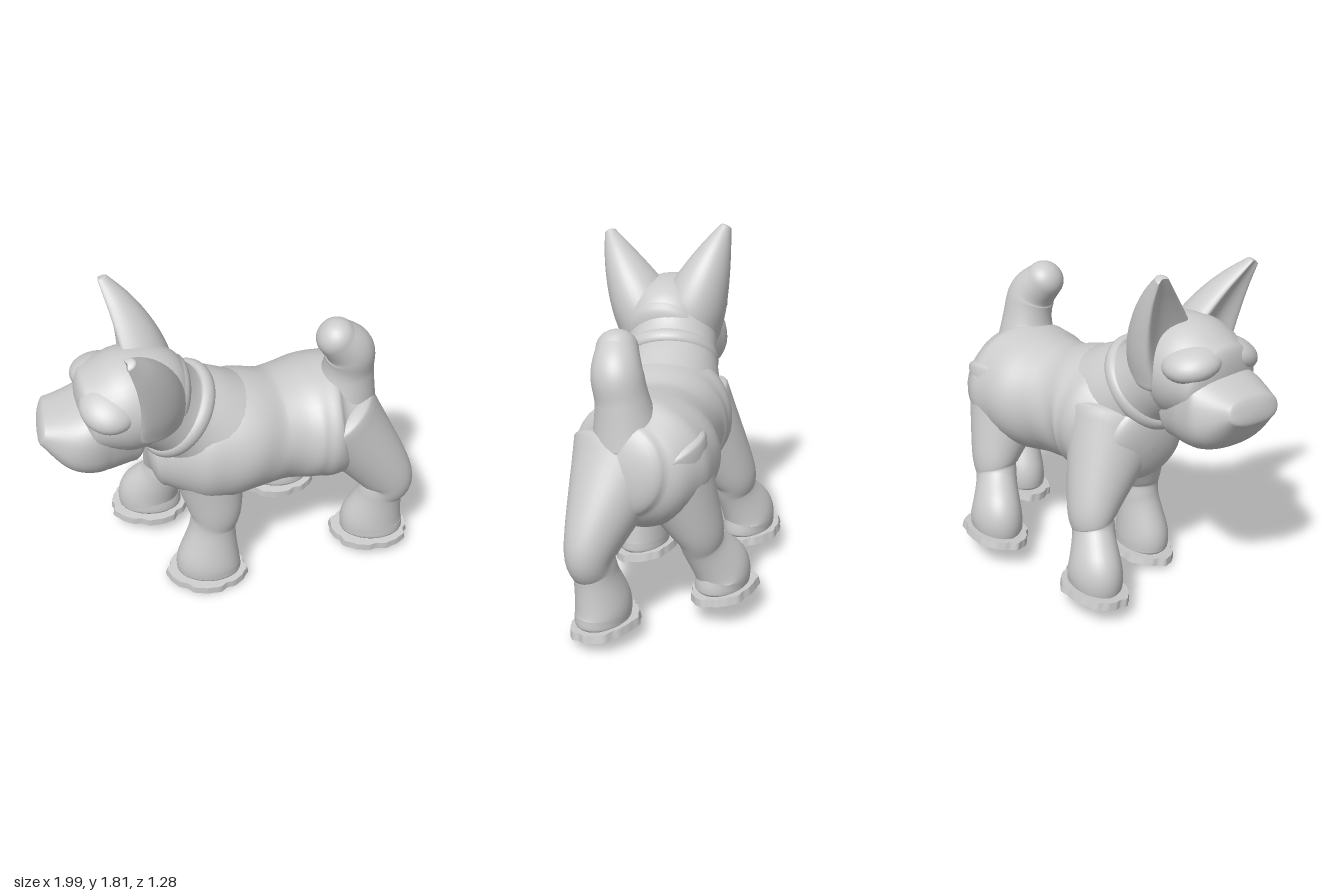
import * as THREE from 'three';

const material = new THREE.MeshStandardMaterial({ color: 0xcccccc });
const SEGMENTS = 40, STEPS = 40, CAP_STEPS = 8;
const GROUND_TILT = 0.137;
const groundHeight = z => GROUND_TILT * (0.36 - z);

function add(parent, name, geometry) {
  const mesh = new THREE.Mesh(geometry, material);
  mesh.name = name;
  parent.add(mesh);
  return mesh;
}

// Smooth skin through rings [x, y, z, sideRadius, otherRadius], rounded at both ends.
// capLength sets the roundness, power squares the section, dent hollows one side, ripple adds folds.
function loft(rings, { capLength = 0.35, power = 2, dent = 0, ripple = 0 } = {}) {
  const curve = points => new THREE.CatmullRomCurve3(points, false, 'catmullrom');
  const path = curve(rings.map(([x, y, z]) => new THREE.Vector3(x, y, z)));
  const radii = curve(rings.map(([, , , a, b = a]) => new THREE.Vector3(a, b, 0)));
  const positions = [], index = [];
  const bend = v => Math.sign(v) * Math.abs(v) ** (2 / power);
  const rows = STEPS + 2 * CAP_STEPS;
  for (let i = 0; i <= rows; i++) {
    const t = THREE.MathUtils.clamp((i - CAP_STEPS) / STEPS, 0, 1);
    // Angle round the end cap: zero along the body, a quarter turn at each pole
    const past = i < CAP_STEPS ? i - CAP_STEPS : Math.max(0, i - CAP_STEPS - STEPS);
    const cap = (past / CAP_STEPS) * Math.PI / 2;
    const shrink = Math.max(Math.cos(cap), 0.002);
    const d = path.getTangent(t), r = radii.getPoint(t);
    const c = path.getPoint(t).addScaledVector(d, capLength * Math.sin(cap) * Math.min(r.x, r.y));
    const side = new THREE.Vector3(0, 0, 1).addScaledVector(d, -d.z).normalize();
    const other = new THREE.Vector3().crossVectors(d, side);
    for (let j = 0; j < SEGMENTS; j++) {
      const a = (j / SEGMENTS) * Math.PI * 2, cos = Math.cos(a), sin = Math.sin(a);
      const scale = shrink * (1 + ripple * Math.sin(t * 42 + 2.5 * sin) * Math.abs(cos));
      const p = c.clone()
        .addScaledVector(side, bend(cos) * r.x * scale)
        .addScaledVector(other, (bend(sin) + dent * Math.max(0, -sin) ** 2) * r.y * scale);
      positions.push(p.x, p.y, p.z);
      if (i === 0) continue;
      const n = (j + 1) % SEGMENTS, lo = (i - 1) * SEGMENTS, hi = i * SEGMENTS;
      index.push(lo + j, lo + n, hi + n, lo + j, hi + n, hi + j);
    }
  }
  const geometry = new THREE.BufferGeometry();
  geometry.setAttribute('position', new THREE.Float32BufferAttribute(positions, 3));
  geometry.setIndex(index);
  geometry.computeVertexNormals();
  return geometry;
}

// Thin ragged disc under a foot, lying on the sloping ground
function addPad(parent, x, z, seed) {
  const geometry = new THREE.CylinderGeometry(0.97, 1, 0.04, 72);
  const p = geometry.attributes.position;
  for (let i = 0; i < p.count; i++) {
    const a = Math.atan2(p.getZ(i), p.getX(i));
    const r = 0.97 + 0.03 * Math.sin(5 * a + seed) + 0.02 * Math.sin(11 * a + 2 * seed) + 0.015 * Math.sin(17 * a);
    p.setX(i, p.getX(i) * r * 0.225);
    p.setZ(i, p.getZ(i) * r * 0.168);
  }
  geometry.computeVertexNormals();
  const pad = add(parent, 'footPad', geometry);
  pad.position.set(x, groundHeight(z) + 0.022, z);
  pad.rotation.x = GROUND_TILT;
}

// Leg from a broad foot through a narrow ankle to the knee and a hip sunk in the body
function createLeg(name, [x, z], knee, hip, seed) {
  const leg = new THREE.Group();
  leg.name = name;
  const y = groundHeight(z);
  const ankle = [x, y, z].map((v, i) => THREE.MathUtils.lerp(v, knee[i], 0.7));
  add(leg, 'limb', loft([
    [x, y + 0.06, z, 0.13, 0.175],
    [x, y + 0.14, z, 0.13, 0.17],
    [...ankle, 0.107, 0.125],
    [...knee, 0.135, 0.15],
    [...hip, 0.27, 0.23],
  ]));
  addPad(leg, x - 0.01, z - 0.01, seed);
  return leg;
}

function createHead() {
  const head = new THREE.Group();
  head.name = 'head';
  head.position.set(-0.5, 1.2, 0.22);
  head.rotation.set(0.1, 0.23, 0, 'YXZ');

  add(head, 'skull', loft([
    [0.2, 0.04, 0, 0.2], [0.08, 0.07, 0, 0.25], [-0.06, 0.06, 0, 0.27, 0.26], [-0.22, 0.04, 0, 0.24, 0.2]]));

  // Boxy bearded muzzle, tapering to the nose
  add(head, 'muzzle', loft([
    [0, -0.12, 0, 0.17, 0.19], [-0.15, -0.09, 0, 0.22], [-0.29, -0.075, 0, 0.24, 0.195],
    [-0.46, -0.025, -0.02, 0.16, 0.075]], { power: 2.5 }));

  for (const s of [-1, 1]) {
    // Shaggy brow, mostly sunk in the forehead
    const brow = add(head, 'brow', new THREE.SphereGeometry(1, 32, 20));
    brow.scale.set(0.15, 0.09, 0.16);
    brow.position.set(-0.145, 0.145, s * 0.13);
    brow.rotation.x = s * 0.3;

    // Broad pointed ear, hollow at the front
    const ear = [0, 0.25, 0.5, 0.75, 1].map(t => {
      const taper = 1 - t ** 1.6;
      return [0.03 - 0.115 * t * t, 0.06 + 0.5 * t, s * (0.1 + 0.23 * t), 0.033 + 0.155 * taper, 0.04 + 0.175 * taper];
    });
    add(head, 'ear', loft(ear, { dent: 0.95 }));
  }
  return head;
}

export function createModel() {
  const dog = new THREE.Group();
  dog.name = 'dog';

  add(dog, 'torso', loft([
    [-0.38, 0.83, 0.06, 0.23], [-0.18, 0.86, 0.05, 0.335], [0, 0.88, 0.025, 0.345, 0.33],
    [0.2, 0.86, -0.05, 0.315, 0.305], [0.4, 0.86, -0.115, 0.36, 0.325], [0.57, 0.87, -0.135, 0.345, 0.325],
    [0.7, 0.89, -0.13, 0.24]], { ripple: 0.01 }));

  add(dog, 'neck', loft([
    [-0.06, 0.92, 0.05, 0.31], [-0.2, 1.03, 0.09, 0.275], [-0.32, 1.13, 0.14, 0.25, 0.23], [-0.45, 1.25, 0.2, 0.25]]));

  const collar = add(dog, 'collar', new THREE.TorusGeometry(0.235, 0.03, 16, 64));
  collar.position.set(-0.29, 1.11, 0.13);
  collar.quaternion.setFromUnitVectors(new THREE.Vector3(0, 0, 1), new THREE.Vector3(-0.7, 0.62, 0.3).normalize());
  collar.scale.z = 1.4;

  add(dog, 'tail', loft([
    [0.59, 1, -0.1, 0.18], [0.61, 1.2, -0.08, 0.135], [0.605, 1.33, -0.05, 0.128], [0.53, 1.43, -0.01, 0.105]],
    { capLength: 0.9 }));

  dog.add(
    createHead(),
    createLeg('nearFrontLeg', [-0.135, 0.21], [-0.1, 0.52, 0.19], [-0.17, 0.9, 0.09], 0),
    createLeg('farFrontLeg', [-0.46, -0.28], [-0.34, 0.52, -0.22], [-0.22, 0.9, -0.01], 2),
    createLeg('nearHindLeg', [0.79, -0.06], [0.84, 0.52, -0.03], [0.56, 0.91, -0.06], 4),
    createLeg('farHindLeg', [0.28, -0.47], [0.42, 0.54, -0.39], [0.5, 0.91, -0.22], 6),
  );
  return dog;
}
